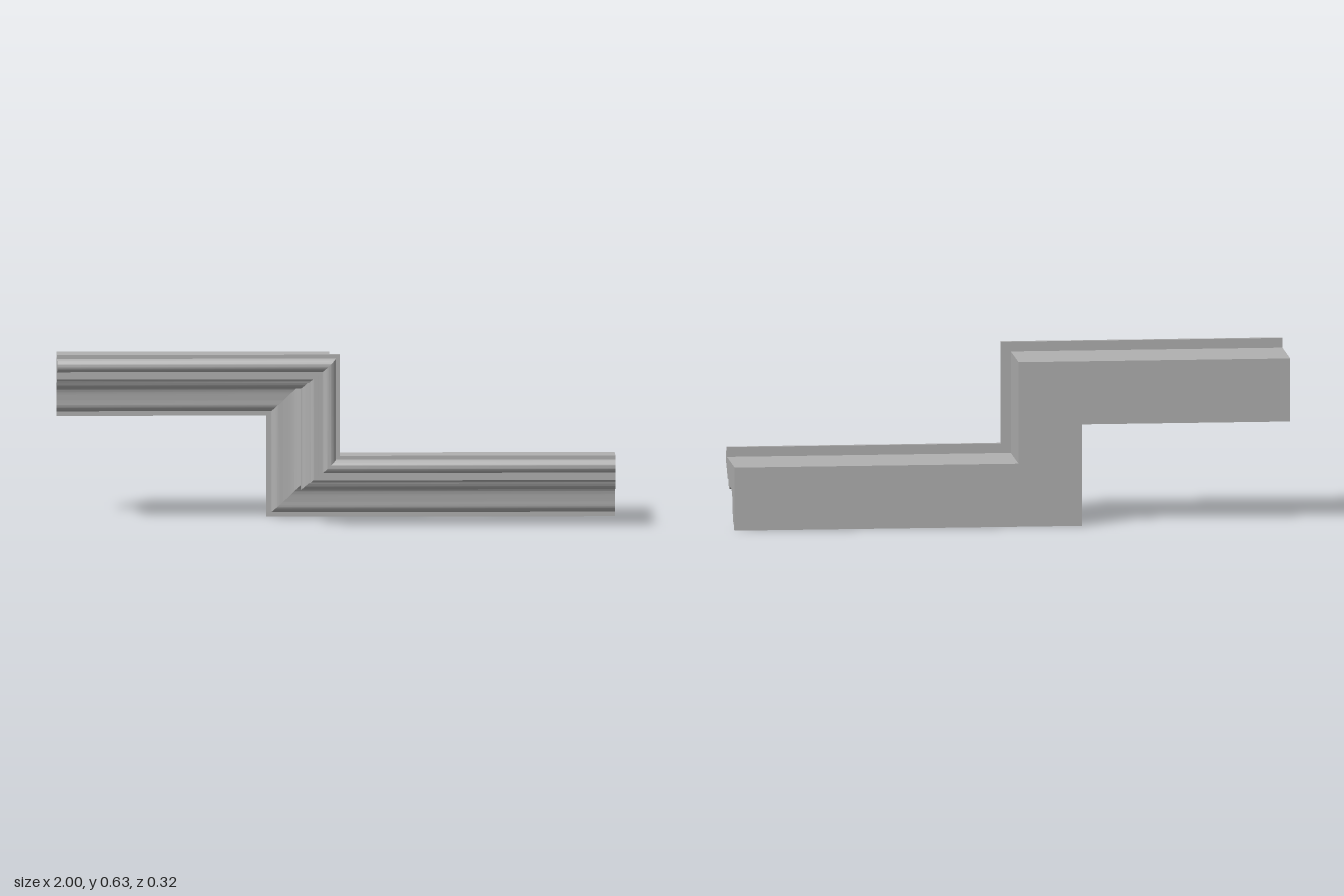
import * as THREE from 'three';
import { toCreasedNormals } from 'three/addons/utils/BufferGeometryUtils.js';

const RISE = 0.367;   // height step between the two level runs
const STEP_X = -0.25; // outer edge of the upright run

// Moulding cross-section: x = depth (z), y = height above the lower edge
function mouldingProfile() {
  const s = new THREE.Shape();
  s.moveTo(-0.159, 0);
  s.lineTo(-0.128, 0);
  s.lineTo(-0.128, 0.017);
  // lower quarter round
  s.absarc(-0.128, 0.048, 0.031, -Math.PI / 2, 0, false);
  s.lineTo(-0.097, 0.05);
  s.lineTo(-0.083, 0.05);
  // large cove flowing into the ogee
  s.splineThru([
    [-0.082, 0.067], [-0.077, 0.1], [-0.064, 0.12], [-0.046, 0.132], [-0.02, 0.137],
    [0.002, 0.134], [0.025, 0.126], [0.037, 0.125], [0.05, 0.129], [0.06, 0.138], [0.067, 0.154],
  ].map(([z, h]) => new THREE.Vector2(z, h)));
  // small cove
  s.lineTo(0.093, 0.154);
  s.bezierCurveTo(0.094, 0.165, 0.104, 0.171, 0.12, 0.171);
  // fillets
  s.lineTo(0.12, 0.187);
  s.lineTo(0.137, 0.187);
  s.lineTo(0.137, 0.201);
  // front bead
  s.absarc(0.137, 0.225, 0.024, -Math.PI / 2, Math.PI / 2, false);
  // raised lip and flat top
  s.lineTo(0.137, 0.263);
  s.lineTo(0.12, 0.263);
  s.lineTo(0.12, 0.228);
  s.lineTo(-0.159, 0.228);

  const pts = [];
  for (const p of s.getPoints(8)) {
    if (!pts.length || p.distanceTo(pts[pts.length - 1]) > 0.0005) pts.push(p);
  }
  return pts;
}

// Skin between two mitred stations; each station maps a height h to [x, y]
function runGeometry(profile, start, end) {
  const pos = [];
  const at = (station, p) => [...station(p.y), p.x];
  profile.forEach((p, i) => {
    const q = profile[(i + 1) % profile.length];
    const a = at(start, p), b = at(end, p), c = at(end, q), d = at(start, q);
    pos.push(...a, ...b, ...c, ...a, ...c, ...d);
  });
  const geo = new THREE.BufferGeometry();
  geo.setAttribute('position', new THREE.Float32BufferAttribute(pos, 3));
  return toCreasedNormals(geo, 0.55);
}

// Flat end facing -x (side = -1) or +x (side = 1)
function endGeometry(profile, side) {
  const shape = new THREE.Shape(profile.map((p) => new THREE.Vector2(-side * p.x, p.y)));
  return new THREE.ShapeGeometry(shape).rotateY(side * Math.PI / 2);
}

export function createModel() {
  const group = new THREE.Group();
  group.name = 'steppedMoulding';
  const grey = new THREE.MeshStandardMaterial({ color: 0xb0b0b0 });
  grey.name = 'plaster grey';

  const add = (name, geometry, x = 0, y = 0) => {
    const mesh = new THREE.Mesh(geometry, grey);
    mesh.name = name;
    mesh.position.set(x, y, 0);
    group.add(mesh);
  };

  const profile = mouldingProfile();
  const stations = [
    (h) => [-1, RISE + h],
    (h) => [STEP_X + h, RISE + h],
    (h) => [STEP_X + h, h],
    (h) => [1, h],
  ];
  ['upperRun', 'uprightRun', 'lowerRun'].forEach((name, i) => {
    add(name, runGeometry(profile, stations[i], stations[i + 1]));
  });
  add('upperEnd', endGeometry(profile, -1), -1, RISE);
  add('lowerEnd', endGeometry(profile, 1), 1, 0);
  return group;
}
